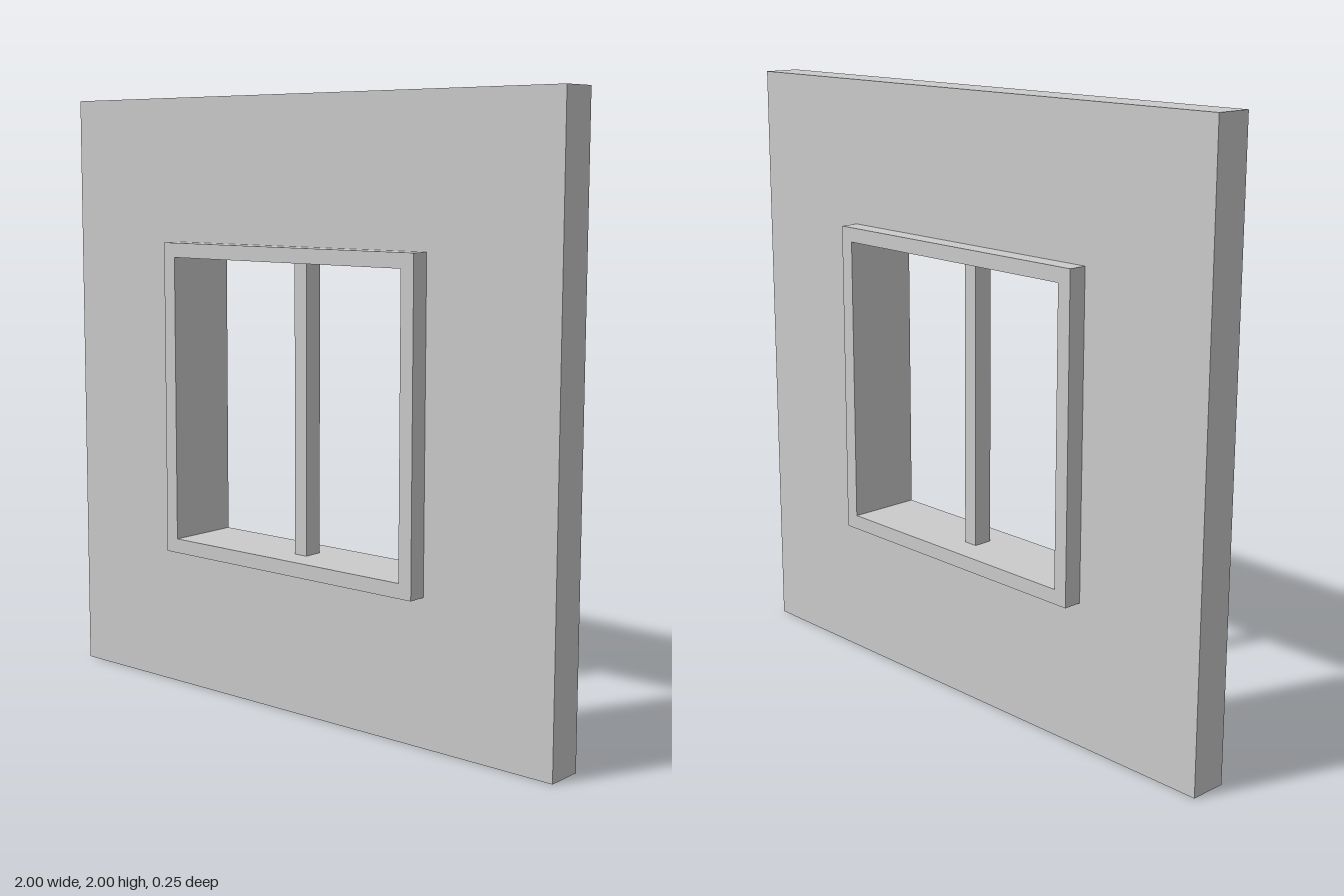
import * as THREE from 'three';

const material = new THREE.MeshStandardMaterial({ color: 0xcccccc, flatShading: true });

// Traces a centred square on a shape or hole path
function square(path, half) {
  path.moveTo(-half, -half);
  path.lineTo(half, -half);
  path.lineTo(half, half);
  path.lineTo(-half, half);
  path.closePath();
  return path;
}

// Square panel with a square opening, centred on z = 0
function squareRing(name, outer, inner, depth) {
  const shape = square(new THREE.Shape(), outer);
  shape.holes.push(square(new THREE.Path(), inner));
  const geometry = new THREE.ExtrudeGeometry(shape, { depth, bevelEnabled: false });
  geometry.translate(0, 0, -depth / 2);
  const mesh = new THREE.Mesh(geometry, material);
  mesh.name = name;
  mesh.position.y = 1;
  return mesh;
}

export function createModel() {
  const model = new THREE.Group();
  model.name = 'windowWall';

  const opening = 0.476;
  const frameOuter = 0.524;

  // Wall panel, with the frame set into its opening
  model.add(squareRing('wall', 1, frameOuter, 0.125));
  model.add(squareRing('windowFrame', frameOuter, opening, 0.25));

  // Upright bar dividing the opening
  const mullion = new THREE.Mesh(new THREE.BoxGeometry(0.05, opening * 2, 0.065), material);
  mullion.name = 'mullion';
  mullion.position.y = 1;
  model.add(mullion);

  return model;
}
